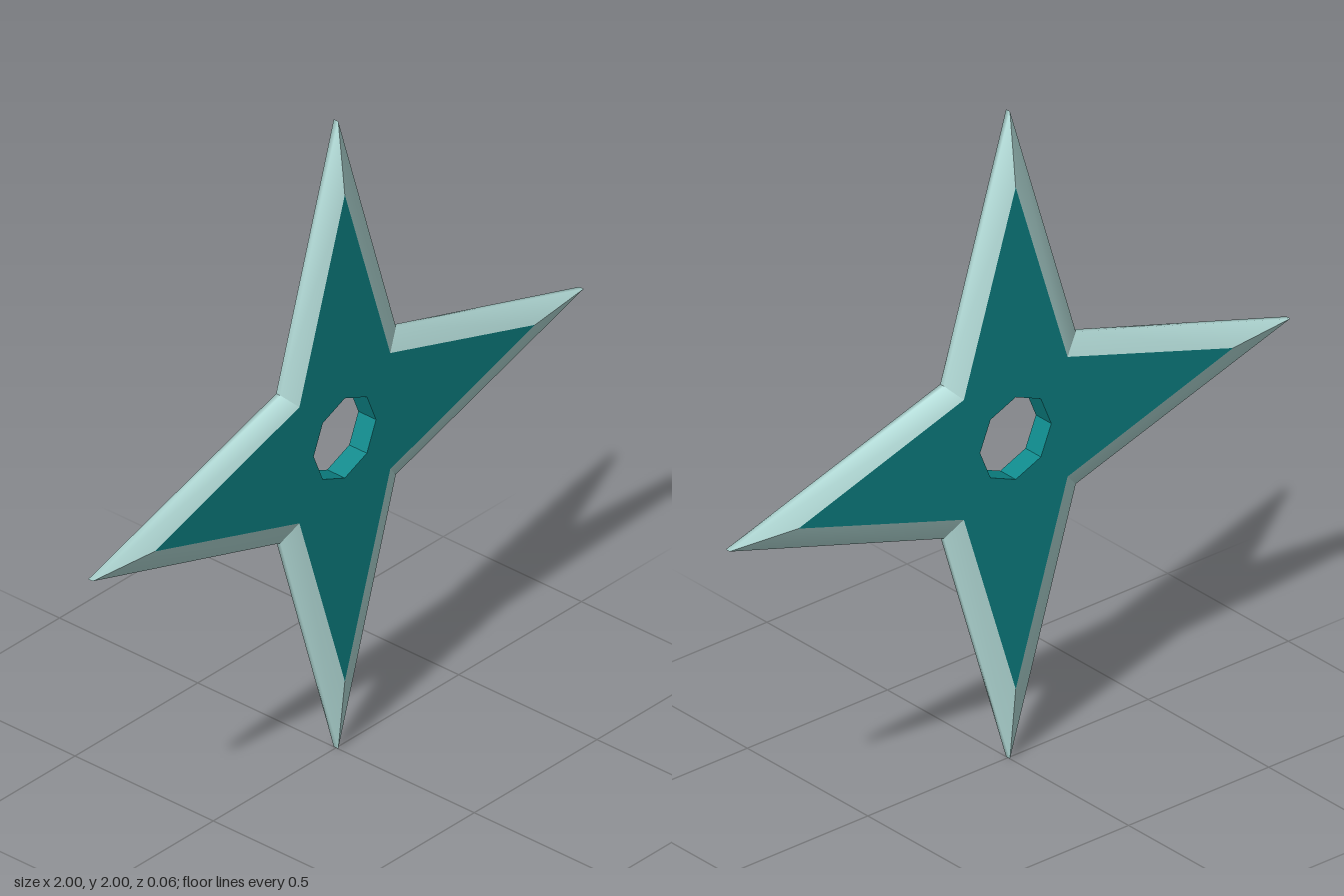
import * as THREE from 'three';

const HALF = 0.032;  // half thickness of the flat plate
const EDGE = 0.008;  // half thickness of the blunt cutting edge

// Eight corners of a four-pointed star, counter-clockwise from +x
function starPoints(tip, notch) {
  const pts = [];
  for (let i = 0; i < 8; i++) {
    const r = i % 2 ? notch * Math.SQRT2 : tip;
    const a = i * Math.PI / 4;
    pts.push(new THREE.Vector2(r * Math.cos(a), r * Math.sin(a)));
  }
  return pts;
}

// One side of the blade: front bevel, blunt edge and back bevel as a smooth strip
function bladeSide(innerA, innerB, outerA, outerB) {
  const rows = [
    [innerA, innerB, HALF],
    [outerA, outerB, EDGE],
    [outerA, outerB, -EDGE],
    [innerA, innerB, -HALF],
  ];
  const positions = [], index = [];
  for (const [a, b, z] of rows) positions.push(a.x, a.y, z, b.x, b.y, z);
  for (let r = 0; r < 3; r++) {
    const k = r * 2;
    index.push(k, k + 2, k + 3, k, k + 3, k + 1);
  }
  const geo = new THREE.BufferGeometry();
  geo.setAttribute('position', new THREE.Float32BufferAttribute(positions, 3));
  geo.setIndex(index);
  geo.computeVertexNormals();
  return geo;
}

export function createModel() {
  const model = new THREE.Group();
  model.name = 'throwingStar';
  const plateMat = new THREE.MeshStandardMaterial({ color: 0x0d8a8c });
  const bladeMat = new THREE.MeshStandardMaterial({ color: 0xc4f0ec });

  const inner = starPoints(0.775, 0.185);
  const outer = starPoints(1, 0.235);

  // Flat plate with an octagonal centre hole
  const shape = new THREE.Shape(inner);
  const hole = [];
  for (let i = 0; i < 8; i++) {
    const a = -i * Math.PI / 4;
    hole.push(new THREE.Vector2(0.127 * Math.cos(a), 0.127 * Math.sin(a)));
  }
  shape.holes.push(new THREE.Path(hole));
  const plateGeo = new THREE.ExtrudeGeometry(shape, { depth: HALF * 2, bevelEnabled: false });
  plateGeo.translate(0, 0, -HALF);
  const plate = new THREE.Mesh(plateGeo, plateMat);
  plate.name = 'plate';

  // Sharpened rim around the plate
  const blades = new THREE.Group();
  blades.name = 'bladeRim';
  for (let i = 0; i < 8; i++) {
    const j = (i + 1) % 8;
    const side = new THREE.Mesh(bladeSide(inner[i], inner[j], outer[i], outer[j]), bladeMat);
    side.name = `bladeSide${i + 1}`;
    blades.add(side);
  }

  model.add(plate, blades);
  // Stand the star on its lowest point
  plate.position.y = blades.position.y = 1;
  return model;
}
